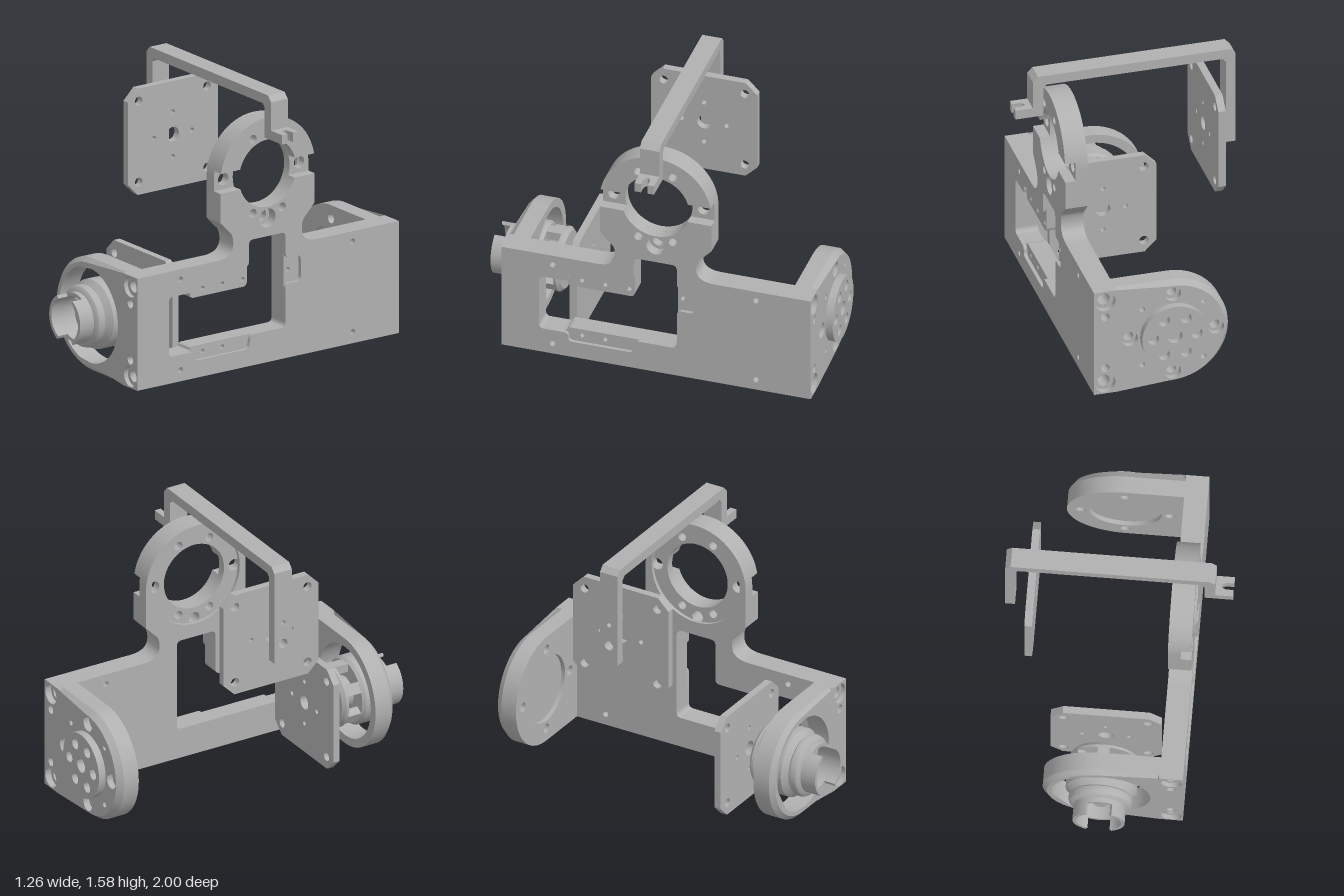
import * as THREE from 'three';
import { toCreasedNormals } from 'three/addons/utils/BufferGeometryUtils.js';

const CX = -0.035, CY = 0.325;      // axis of the lower joint
const RU = 0.057, RY = 1.096;       // axis of the upper joint (u = -z, y)

const metal = new THREE.MeshStandardMaterial({ color: 0xb0b0b0 });
metal.name = 'grey metal';

function add(parent, name, geometry) {
  const mesh = new THREE.Mesh(toCreasedNormals(geometry, 0.5), metal);
  mesh.name = name;
  parent.add(mesh);
  return mesh;
}

// Polygon with rounded corners
function poly(points, r = 0, Type = THREE.Shape) {
  const s = new Type();
  const v = points.map(p => new THREE.Vector2(...p));
  v.forEach((p, i) => {
    const a = v[(i + v.length - 1) % v.length], b = v[(i + 1) % v.length];
    const back = p.clone().lerp(a, Math.min(r / p.distanceTo(a), 0.45));
    const next = p.clone().lerp(b, Math.min(r / p.distanceTo(b), 0.45));
    if (i) s.lineTo(back.x, back.y); else s.moveTo(back.x, back.y);
    if (r) s.quadraticCurveTo(p.x, p.y, next.x, next.y);
  });
  s.closePath();
  return s;
}

const circle = (x, y, r) => new THREE.Path().absarc(x, y, r, 0, Math.PI * 2, true);

function extrude(shape, from, to, holes = []) {
  shape.holes.push(...holes);
  const g = new THREE.ExtrudeGeometry(shape, { depth: to - from, bevelEnabled: false, curveSegments: 24 });
  return g.translate(0, 0, from);
}
// Shape drawn in (-z, y), thickness along x
const extrudeX = (shape, from, to, holes) => extrude(shape, from, to, holes).rotateY(Math.PI / 2);

// Lathe about the lower joint axis, profile given as [radius, z]
function turned(points) {
  const g = new THREE.LatheGeometry(points.map(p => new THREE.Vector2(...p)), 48);
  return g.rotateX(Math.PI / 2);
}

// Side wall outline; the slotted version stops under the ring slot
function wallShape(slotted) {
  const s = new THREE.Shape(), h = 0.3235, top = slotted ? 1.035 : RY;
  s.moveTo(-0.71, 0);
  s.lineTo(0.825, 0);
  s.lineTo(0.825, 0.65);
  s.lineTo(RU + 0.345, 0.65);
  s.quadraticCurveTo(RU + 0.235, 0.65, RU + 0.235, 0.73);
  s.quadraticCurveTo(RU + 0.235, 0.78, RU + 0.26, 0.80);
  s.lineTo(RU + h, 0.866);
  s.lineTo(RU + h, top);
  if (slotted) s.absarc(RU, RY, 0.195, -0.318, -Math.PI + 0.318, true);
  else s.absarc(RU, RY, h, 0, Math.PI, false);
  s.lineTo(RU - h, top);
  s.lineTo(RU - h, 0.866);
  s.lineTo(RU - 0.26, 0.80);
  s.quadraticCurveTo(RU - 0.235, 0.78, RU - 0.235, 0.73);
  s.quadraticCurveTo(RU - 0.235, 0.65, RU - 0.345, 0.65);
  s.lineTo(-0.71, 0.65);
  s.closePath();
  return s;
}

function buildWall(root) {
  const wall = new THREE.Group();
  wall.name = 'sideWall';
  root.add(wall);
  const windowCut = () => poly([[-0.62, 0.155], [-0.46, 0.155], [-0.46, 0.18], [0.18, 0.18], [0.18, 0.73],
    [-0.07, 0.73], [-0.07, 0.46], [-0.46, 0.46], [-0.46, 0.5], [-0.62, 0.5]], 0.03, THREE.Path);
  const pocketCut = () => poly([[-0.62, 0.155], [-0.45, 0.155], [-0.45, 0.10], [-0.07, 0.10], [-0.06, 0.18],
    [0.18, 0.18], [0.18, 0.43], [0.285, 0.43], [0.285, 0.58], [0.18, 0.58], [0.18, 0.73], [-0.07, 0.73],
    [-0.07, 0.58], [-0.17, 0.56], [-0.45, 0.56], [-0.45, 0.5], [-0.62, 0.5]], 0.03, THREE.Path);
  const screws = () => [-0.54, 0.64].flatMap(u => [0.065, 0.59].map(y => circle(u, y, 0.017)));
  const pocketScrews = () => [[-0.375, 0.505], [-0.24, 0.505], [-0.1, 0.505], [0.21, 0.505], [-0.375, 0.14],
    [-0.24, 0.14]].map(([u, y]) => circle(u, y, 0.013));
  const ringHoles = (dy) => [-0.1, 0.1].map(d => circle(RU + d, RY + dy, 0.025));

  add(wall, 'wallInnerLayer', extrudeX(wallShape(false), 0.29, 0.31,
    [windowCut(), ...screws(), circle(RU, RY, 0.285)]));
  add(wall, 'wallMiddleLayer', extrudeX(wallShape(false), 0.31, 0.36,
    [windowCut(), ...screws(), circle(RU, RY, 0.195), ...ringHoles(0.215), ...ringHoles(-0.215),
      circle(RU - 0.26, RY, 0.035), circle(RU + 0.26, RY, 0.035), circle(RU, RY - 0.26, 0.035)]));
  add(wall, 'wallOuterLayer', extrudeX(wallShape(true), 0.36, 0.40,
    [windowCut(), ...screws(), ...pocketScrews(), ...ringHoles(-0.215), circle(RU, RY - 0.26, 0.055)]));
  add(wall, 'wallPocketLayer', extrudeX(wallShape(true), 0.40, 0.42,
    [pocketCut(), ...screws(), ...ringHoles(-0.215), circle(RU, RY - 0.26, 0.055)]));

  const arch = new THREE.Shape();
  arch.absarc(RU, RY, 0.3235, 0.168, Math.PI - 0.168, false);
  arch.absarc(RU, RY, 0.195, Math.PI - 0.28, 0.28, true);
  arch.closePath();
  add(wall, 'ringArch', extrudeX(arch, 0.36, 0.42, ringHoles(0.215)));
}

// Rounded end plate outline, centred on the joint height
function endShape() {
  const s = new THREE.Shape();
  s.moveTo(0.42, -0.325);
  s.lineTo(0.42, 0.325);
  s.lineTo(0.29, 0.325);
  s.lineTo(0.28, 0.325);
  s.absarc(CX, 0, 0.325, Math.PI / 2, Math.PI * 1.5, false);
  s.lineTo(0.28, -0.325);
  s.lineTo(0.29, -0.325);
  s.closePath();
  return s;
}

// Pull the outer rim inward on the face at height z
function chamfer(g, z) {
  const p = g.attributes.position;
  for (let i = 0; i < p.count; i++) {
    const x = p.getX(i), y = p.getY(i);
    const rim = x < CX ? Math.hypot(x - CX, y) > 0.315 : Math.abs(y) > 0.32 && x < 0.285;
    if (p.getZ(i) < z - 0.001 || !rim) continue;
    p.setY(i, y * 0.92);
    if (x < CX) p.setX(i, CX + (x - CX) * 0.92);
  }
  return g;
}

function buildEndPlates(root) {
  const corners = r => [-0.26, 0.26].map(y => circle(0.355, y, r));
  const pins = () => [-0.163, 0.163].map(y => circle(0.355, y, 0.025));

  const front = new THREE.Group();
  front.name = 'frontRingPlate';
  front.position.y = CY;
  root.add(front);
  add(front, 'ringPlateBase', extrude(endShape(), 0.71, 0.81, [circle(CX, 0, 0.275), ...corners(0.035), ...pins()]));
  add(front, 'ringPlateFace', chamfer(extrude(endShape(), 0.81, 0.836,
    [circle(CX, 0, 0.275), ...corners(0.058), ...pins()]), 0.836));

  const back = new THREE.Group();
  back.name = 'backPlate';
  back.position.y = CY;
  back.rotation.x = Math.PI;
  root.add(back);
  const bolts = r => [0, 1, 2, 3].map(i => circle(CX + 0.248 * Math.cos(i * Math.PI / 2), 0.248 * Math.sin(i * Math.PI / 2), r));
  const small = () => [1, 3, 5, 7].map(i => circle(CX + 0.25 * Math.cos(i * Math.PI / 4), 0.25 * Math.sin(i * Math.PI / 4), 0.016));
  add(back, 'backPlateInner', extrude(endShape(), 0.825, 0.85, [circle(CX, 0, 0.2), ...bolts(0.028), ...corners(0.035), ...pins()]));
  add(back, 'backPlateCore', extrude(endShape(), 0.85, 0.92, [...bolts(0.028), ...small(), ...corners(0.035), ...pins()]));
  add(back, 'backPlateFace', chamfer(extrude(endShape(), 0.92, 0.957,
    [...bolts(0.045), ...small(), ...corners(0.058), ...pins()]), 0.957));

  // Output disc with a circle of holes
  const disc = new THREE.Shape().absarc(CX, 0, 0.19, 0, Math.PI * 2, false);
  const discHoles = [0, 1, 2, 3, 4, 5].map(i => circle(CX + 0.125 * Math.cos(i * Math.PI / 3), 0.125 * Math.sin(i * Math.PI / 3), 0.032));
  add(back, 'outputDisc', extrude(disc, 0.957, 1.0, [circle(CX, 0, 0.042), ...discHoles]));
}

function buildMotor(root) {
  const motor = new THREE.Group();
  motor.name = 'motor';
  motor.position.set(CX, CY, 0);
  root.add(motor);
  add(motor, 'rearCap', turned([[0.028, 0.575], [0.06, 0.575], [0.06, 0.59], [0.165, 0.59], [0.185, 0.61],
    [0.185, 0.625], [0.028, 0.625], [0.028, 0.575]]));
  add(motor, 'core', turned([[0.028, 0.62], [0.09, 0.62], [0.09, 0.73], [0.028, 0.73], [0.028, 0.62]]));
  for (let i = 0; i < 6; i++) {
    const post = add(motor, 'cagePost', new THREE.BoxGeometry(0.05, 0.065, 0.1).translate(0.158, 0, 0.67));
    post.rotation.z = (i + 0.5) * Math.PI / 3;
  }
  add(motor, 'bell', turned([[0.028, 0.71], [0.185, 0.71], [0.198, 0.73], [0.198, 0.81], [0.165, 0.84],
    [0.175, 0.85], [0.178, 0.87], [0.172, 0.89], [0.16, 0.9], [0.145, 0.905], [0.145, 0.935],
    [0.125, 0.935], [0.125, 0.84], [0.028, 0.84], [0.028, 0.71]]));
  for (const a of [0, Math.PI]) {
    const s = new THREE.Shape();
    s.absarc(0, 0, 0.145, a - 1.06, a + 1.06, false);
    s.absarc(0, 0, 0.125, a + 1.06, a - 1.06, true);
    s.closePath();
    add(motor, 'tubeLip', extrude(s, 0.935, 1.0));
  }
  const web = poly([90, 210, 330].map(d => d * Math.PI / 180).map(a => [-0.155 * Math.cos(a), -0.155 * Math.sin(a)]), 0.05);
  add(motor, 'triangularWeb', extrude(web, 0.84, 0.865, [circle(0, 0, 0.035)]));
}

// Square mounting plate with cut corners
function squarePlate(cx, cy) {
  const h = 0.308, c = 0.24;
  const s = poly([[h, -c], [h, c], [c, h], [-c, h], [-h, c], [-h, -c], [-c, -h], [c, -h]]
    .map(([x, y]) => [x + cx, y + cy]));
  const holes = [circle(cx, cy, 0.042)];
  for (const i of [-1, 1]) {
    holes.push(circle(cx + i * 0.13, cy, 0.014), circle(cx, cy + i * 0.13, 0.014));
    for (const j of [-1, 1]) holes.push(circle(cx + i * 0.235, cy + j * 0.235, 0.026));
  }
  return [s, holes];
}

function buildBracket(root) {
  const bracket = new THREE.Group();
  bracket.name = 'topBracket';
  root.add(bracket);
  const beam = poly([[-0.635, 1.45], [-0.58, 1.45], [-0.58, 1.5], [-0.56, 1.52], [0.45, 1.52], [0.47, 1.5],
    [0.47, 1.325], [0.53, 1.325], [0.53, 1.545], [0.5, 1.577], [-0.605, 1.577], [-0.635, 1.545]]);
  add(bracket, 'beam', extrude(beam, -0.115, -0.001));
  const leg = poly([[0.001, 0.985], [0.115, 0.985], [0.115, 1.45], [0.001, 1.45]]);
  add(bracket, 'longLeg', extrudeX(leg, -0.635, -0.58,
    [circle(RU, RY, 0.028), circle(RU, RY + 0.13, 0.014)]));
  // Forked foot, drawn in (x, -z) and laid flat
  const foot = poly([[0.53, 0.001], [0.63, 0.001], [0.63, 0.039], [0.585, 0.039], [0.567, 0.047], [0.562, 0.058],
    [0.567, 0.069], [0.585, 0.077], [0.63, 0.077], [0.63, 0.115], [0.53, 0.115]]);
  add(bracket, 'forkFoot', extrude(foot, 1.325, 1.38).rotateX(-Math.PI / 2));
}

export function createModel() {
  const root = new THREE.Group();
  root.name = 'jointAssembly';
  buildWall(root);
  buildEndPlates(root);
  buildMotor(root);
  const [lower, lowerHoles] = squarePlate(CX, CY);
  add(root, 'lowerMountPlate', extrude(lower, 0.447, 0.488, lowerHoles));
  const [upper, upperHoles] = squarePlate(RU, RY);
  add(root, 'upperMountPlate', extrudeX(upper, -0.508, -0.465, upperHoles));
  buildBracket(root);
  return root;
}
